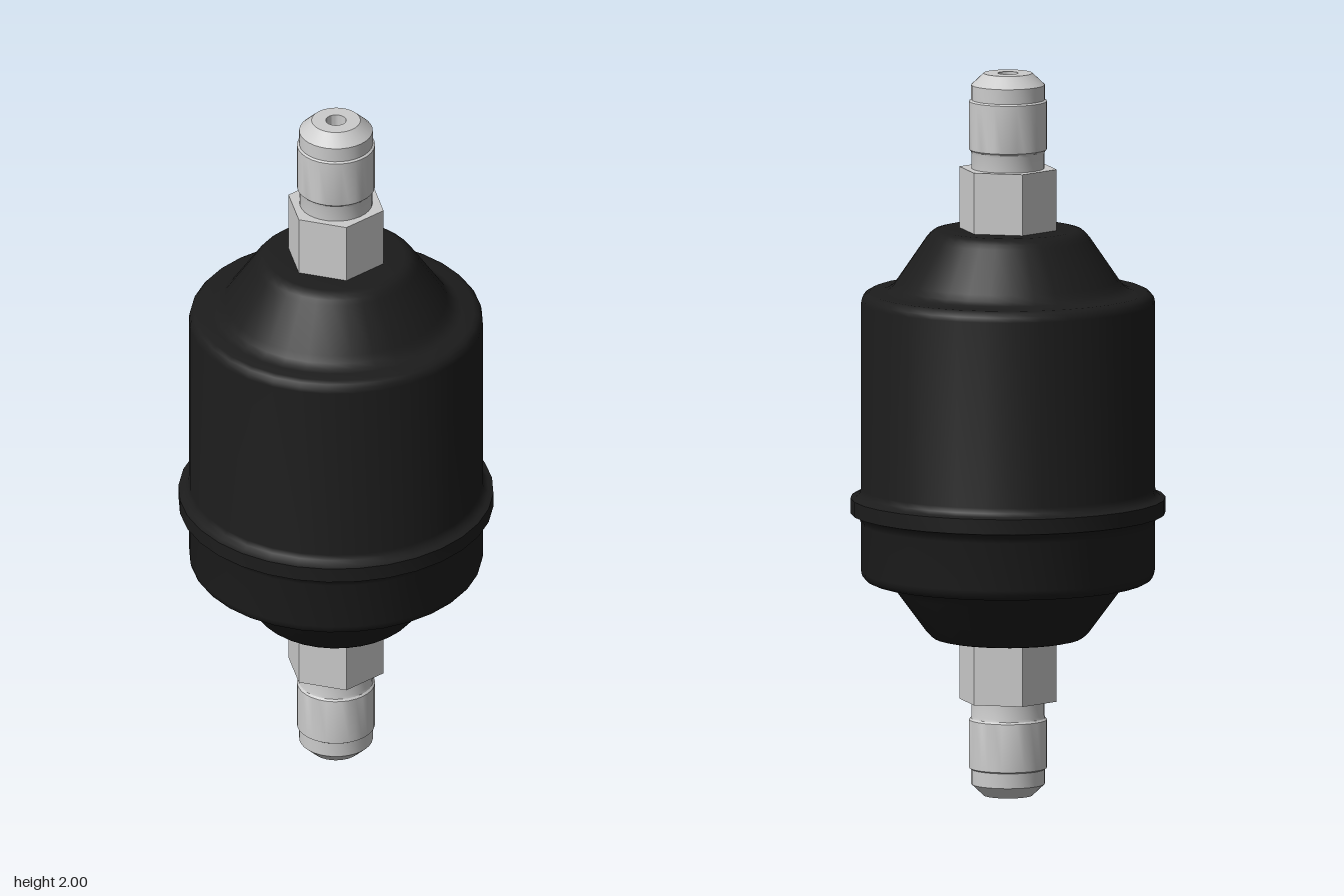
import * as THREE from 'three';
import { toCreasedNormals } from 'three/addons/utils/BufferGeometryUtils.js';

const metal = new THREE.MeshStandardMaterial({ color: 0xcccccc });
const black = new THREE.MeshStandardMaterial({ color: 0x1c1c1c });
const BORE = 0.028;

// Revolve [radius, y] pairs, listed bottom to top on the outside
function revolve(points, segments) {
  return new THREE.LatheGeometry(points.map(([r, y]) => new THREE.Vector2(r, y)), segments);
}

function part(name, geometry, material, crease = 0.5) {
  const mesh = new THREE.Mesh(toCreasedNormals(geometry, crease), material);
  mesh.name = name;
  return mesh;
}

// Hexagonal nut whose outer corners are cut by a conical chamfer
function hexGeometry(y0, y1, inradius) {
  const geo = revolve([[0.09, y0], [inradius, y0], [1, y0], [1, y1], [inradius, y1], [0.09, y1]], 48);
  const pos = geo.attributes.position;
  const step = Math.PI / 3;
  for (let i = 0; i < pos.count; i++) {
    const x = pos.getX(i), z = pos.getZ(i);
    if (Math.hypot(x, z) < 0.9) continue;
    const angle = Math.atan2(x, z);
    const off = angle - Math.round(angle / step) * step;
    const r = inradius / Math.cos(off);
    pos.setX(i, r * Math.sin(angle));
    pos.setZ(i, r * Math.cos(angle));
    if (pos.getY(i) === y1) pos.setY(i, y1 - 0.8 * (r - inradius));
  }
  return geo;
}

// One end fitting: hex nut plus bored nipple
function fitting(name) {
  const group = new THREE.Group();
  group.name = name;
  group.add(part('hexNut', hexGeometry(1.5, 1.737, 0.1187), metal));
  group.add(part('nipple', revolve([
    [0.09, 1.5], [0.1, 1.73], [0.1, 1.778], [0.102, 1.785], [0.107, 1.79],
    [0.107, 1.923], [0.101, 1.927], [0.101, 1.968], [0.067, 2],
    [BORE, 2], [BORE, 1],
  ], 32), metal));
  return group;
}

// Rounded shoulder and cone of the canister, as height above or below its rim
const shoulder = [
  [0.403, 0.03], [0.4, 0.017], [0.392, 0.007], [0.38, 0.001], [0.345, 0],
  [0.33, 0.005], [0.316, 0.015], [0.304, 0.032], [0.226, 0.146],
  [0.216, 0.158], [0.204, 0.168], [0.188, 0.172], [0.09, 0.172],
];

export function createModel() {
  const model = new THREE.Group();
  model.name = 'inlineFilter';

  // Canister with the raised seam band
  const lower = shoulder.map(([r, h], i) => [r, i === 0 ? 0.593 + h : (i < 4 ? 0.593 + 0.03 * (1 - i / 4) : 0.593 - h * 0.925)]);
  lower[1] = [0.4, 0.61];
  lower[2] = [0.392, 0.6];
  lower[3] = [0.38, 0.594];
  const upper = shoulder.map(([r, h], i) => [r, i < 4 ? 1.396 - h : 1.396 + h]);
  model.add(part('canister', revolve([
    ...lower.reverse(),
    [0.403, 0.755], [0.407, 0.768], [0.418, 0.779], [0.432, 0.783],
    [0.432, 0.825], [0.418, 0.829], [0.407, 0.838], [0.403, 0.852],
    ...upper,
  ], 32), black, 0.7));

  // Matching fittings at both ends
  const top = fitting('topFitting');
  const bottom = fitting('bottomFitting');
  bottom.rotation.x = Math.PI;
  bottom.position.y = 2;
  model.add(top, bottom);
  return model;
}
